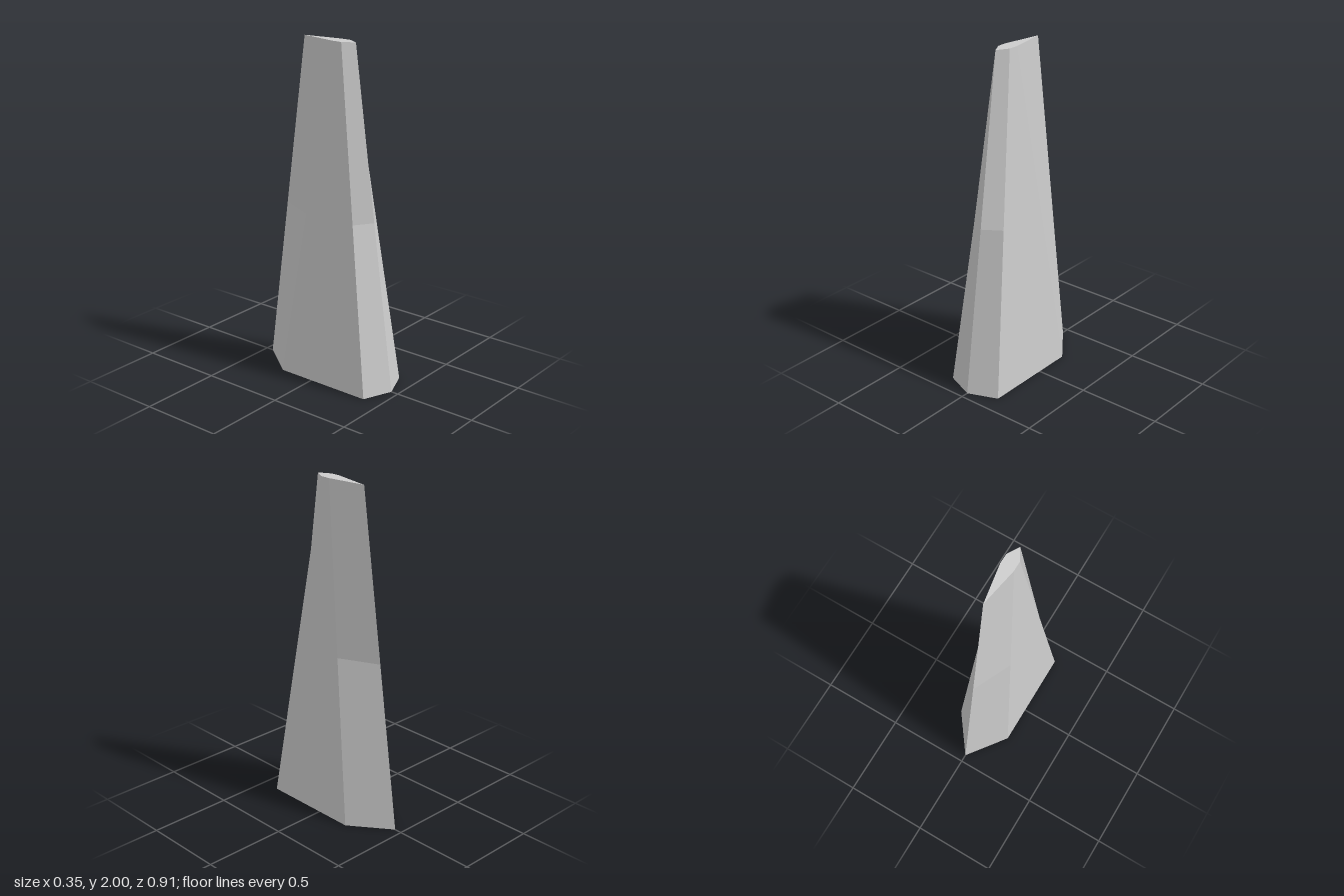
import * as THREE from 'three';

// Six-sided outlines as [x, z], running front -> left -> back -> right
const BASE = [[0, 0.455], [0.175, 0.385], [0.175, -0.22], [0, -0.455], [-0.175, -0.22], [-0.175, 0.385]];
const TIP = [[0, 0.18], [0.04, 0.11], [0.04, 0.05], [0, -0.18], [-0.04, 0.05], [-0.04, 0.11]];
const HEIGHT = 2;
const BANDS = 2;

// Outline at fraction t of the height
function ring(t) {
  return BASE.map(([x, z], i) => new THREE.Vector3(
    THREE.MathUtils.lerp(x, TIP[i][0], t), HEIGHT * t, THREE.MathUtils.lerp(z, TIP[i][1], t)));
}

function shardGeometry() {
  const positions = [], normals = [], index = [];

  // Adds a flat-shaded polygon with corners counter-clockwise from outside
  function addFace(corners, normal) {
    const start = positions.length / 3;
    for (const p of corners) {
      positions.push(p.x, p.y, p.z);
      normals.push(normal.x, normal.y, normal.z);
    }
    for (let i = 1; i < corners.length - 1; i++) index.push(start, start + i, start + i + 1);
  }

  // Side facets, in stacked bands
  const rings = Array.from({ length: BANDS + 1 }, (_, i) => ring(i / BANDS));
  for (let k = 0; k < BANDS; k++) {
    for (let i = 0; i < 6; i++) {
      const j = (i + 1) % 6;
      const a = rings[k][i], b = rings[k][j], c = rings[k + 1][j], d = rings[k + 1][i];
      const normal = c.clone().sub(a).cross(d.clone().sub(b)).normalize();
      addFace([a, b, c, d], normal);
    }
  }

  // End caps
  addFace(rings[BANDS], new THREE.Vector3(0, 1, 0));
  addFace([...rings[0]].reverse(), new THREE.Vector3(0, -1, 0));

  const geometry = new THREE.BufferGeometry();
  geometry.setAttribute('position', new THREE.Float32BufferAttribute(positions, 3));
  geometry.setAttribute('normal', new THREE.Float32BufferAttribute(normals, 3));
  geometry.setIndex(index);
  return geometry;
}

export function createModel() {
  const group = new THREE.Group();
  group.name = 'taperedPillar';
  const pillar = new THREE.Mesh(shardGeometry(), new THREE.MeshStandardMaterial({ color: 0xcccccc }));
  pillar.name = 'pillar';
  group.add(pillar);
  return group;
}
